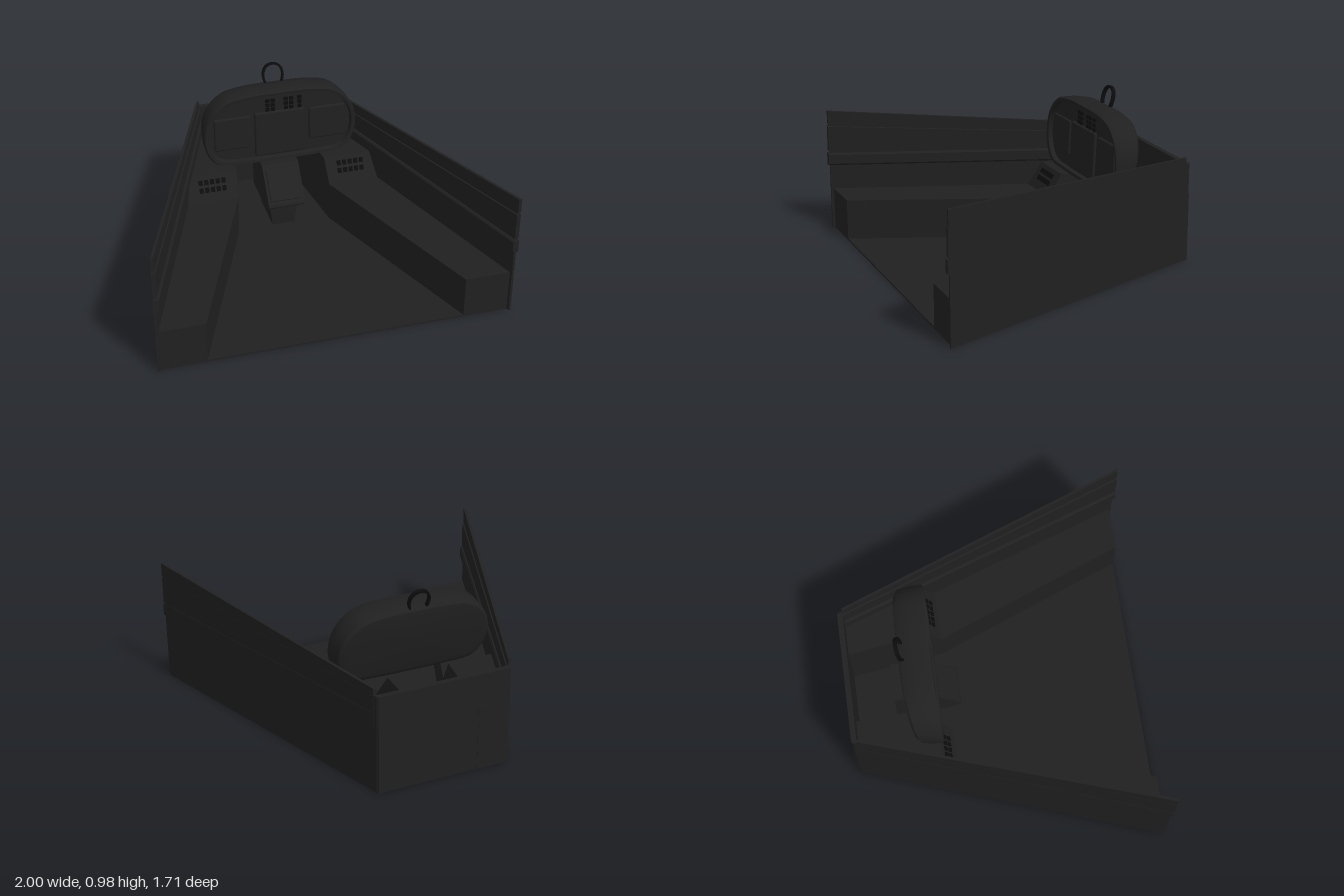
import * as THREE from 'three';
import { ConvexGeometry } from 'three/addons/geometries/ConvexGeometry.js';
import { RoundedBoxGeometry } from 'three/addons/geometries/RoundedBoxGeometry.js';
import { toCreasedNormals } from 'three/addons/utils/BufferGeometryUtils.js';

const dark = new THREE.MeshStandardMaterial({ color: 0x202020 });
const black = new THREE.MeshStandardMaterial({ color: 0x0c0c0c });

// Outer half width of the tub at depth z, and inner edge of the rear consoles
const halfWidth = z => 0.385 + (z + 0.85) * 0.358;
const innerEdge = z => 0.2 + (z + 0.85) * 0.137;

function add(parent, name, geometry, material = dark) {
  const mesh = new THREE.Mesh(geometry, material);
  mesh.name = name;
  parent.add(mesh);
  return mesh;
}

// Convex solid from corner points
function hull(parent, name, points, side = 1) {
  return add(parent, name, new ConvexGeometry(points.map(([x, y, z]) => new THREE.Vector3(x * side, y, z))));
}

// Strip following the side wall: [offset from wall, y at front, y at rear]
function wallStrip(parent, name, side, zFront, zRear, section) {
  const points = [];
  for (const [dx, yFront, yRear] of section) {
    points.push([halfWidth(zFront) + dx, yFront, zFront], [halfWidth(zRear) + dx, yRear, zRear]);
  }
  return hull(parent, name, points, side);
}

// Grid of small keys around a centre
function keys(parent, name, cols, rows, dx, dy, size, depth) {
  const group = new THREE.Group();
  group.name = name;
  for (let i = 0; i < cols; i++) for (let j = 0; j < rows; j++) {
    const key = add(group, 'key', new THREE.BoxGeometry(size[0], size[1], depth), black);
    key.position.set((i - (cols - 1) / 2) * dx, (j - (rows - 1) / 2) * dy, 0);
  }
  parent.add(group);
  return group;
}

// Instrument pod: leaning front face with a sunken centre and a raked back
const frontZ = y => -0.34 - (y - 0.43) * 0.045;
const backZ = y => -0.45 - (y - 0.43) * 0.205;

function podGeometry() {
  const half = [[0.2, 0.875], [0.33, 0.845], [0.42, 0.76], [0.455, 0.65], [0.437, 0.53], [0.375, 0.455], [0.2, 0.437]];
  const outline = [[0, 0.88], ...half, [0, 0.435], ...half.slice().reverse().map(([x, y]) => [-x, y])];
  const curve = new THREE.CatmullRomCurve3(outline.map(([x, y]) => new THREE.Vector3(x, y, 0)), true);
  const n = 72, ring = curve.getSpacedPoints(n).slice(0, n);
  // Rings: scale x, scale y, depth fraction, extra z
  const rings = [
    [0, 0, 0, -0.025], [0.93, 0.88, 0, -0.025], [0.945, 0.9, 0, 0], [0.985, 0.975, 0, 0.003],
    [1, 1, 0, -0.008], [0.995, 0.985, 0.5, 0], [0.975, 0.93, 0.88, 0], [0.94, 0.88, 0.97, 0],
    [0.87, 0.8, 1, 0], [0, 0, 1, 0],
  ];
  const positions = [], index = [];
  for (const [sx, sy, t, dz] of rings) for (const p of ring) {
    const y = 0.655 + (p.y - 0.655) * sy;
    positions.push(p.x * sx, y, THREE.MathUtils.lerp(frontZ(y), backZ(y), t) + dz);
  }
  for (let r = 0; r < rings.length - 1; r++) for (let i = 0; i < n; i++) {
    const a = r * n + i, b = r * n + (i + 1) % n, c = a + n, d = b + n;
    // Centre rings collapse to a point, so leave out the empty triangles
    if (r > 0) index.push(a, b, c);
    if (r < rings.length - 2) index.push(b, d, c);
  }
  const geometry = new THREE.BufferGeometry();
  geometry.setAttribute('position', new THREE.Float32BufferAttribute(positions, 3));
  geometry.setIndex(index);
  return toCreasedNormals(geometry, 0.6);
}

export function createModel() {
  const model = new THREE.Group();
  model.name = 'cockpit';

  // Floor and rear bulkhead
  const floor = [];
  for (const s of [1, -1]) for (const y of [0, 0.01]) {
    floor.push([s * halfWidth(0.83), y, 0.83], [s * halfWidth(-0.85), y, -0.85]);
  }
  hull(model, 'floor', floor);
  const bulkhead = [];
  for (const s of [1, -1]) for (const y of [0, 0.58]) {
    bulkhead.push([s * halfWidth(-0.82), y, -0.82], [s * 0.39, y, -0.842], [s * 0.38, y, -0.85]);
  }
  hull(model, 'bulkhead', bulkhead);

  for (const s of [1, -1]) {
    const side = new THREE.Group();
    side.name = s > 0 ? 'leftSide' : 'rightSide';
    model.add(side);

    // Side wall, sill along its top, padded rail and upper lining
    wallStrip(side, 'wall', s, 0.845, -0.82, [[0, 0, 0], [-0.012, 0, 0], [0, 0.66, 0.585], [-0.012, 0.66, 0.585]]);
    wallStrip(side, 'sill', s, 0.85, -0.82, [[0.003, 0.655, 0.58], [-0.014, 0.655, 0.58], [0.003, 0.735, 0.62], [-0.014, 0.735, 0.62]]);
    wallStrip(side, 'rail', s, 0.857, -0.82, [[0.002, 0.4, 0.4], [0.002, 0.475, 0.475], [-0.022, 0.4, 0.4],
      [-0.03, 0.41, 0.41], [-0.03, 0.465, 0.465], [-0.022, 0.475, 0.475]]);
    wallStrip(side, 'lining', s, 0.853, -0.82, [[0.001, 0.485, 0.485], [0.001, 0.645, 0.57],
      [-0.02, 0.49, 0.49], [-0.02, 0.64, 0.565]]);

    // Low side console
    const low = [];
    for (const y of [0, 0.25]) {
      low.push([halfWidth(0.83) - 0.003, y, 0.83], [0.72, y, 0.83],
        [halfWidth(-0.3) - 0.003, y, -0.3], [innerEdge(-0.28), y, -0.28]);
    }
    hull(side, 'sideConsole', low, s);

    // Tall rear console with a sloped key panel
    const tall = [];
    for (const [y, z] of [[0, -0.28], [0.25, -0.28], [0.39, -0.36], [0, -0.853], [0.39, -0.853]]) {
      tall.push([halfWidth(z) - 0.003, y, z], [innerEdge(z), y, z]);
    }
    hull(side, 'rearConsole', tall, s);
    const pad = keys(side, 'consoleKeys', 5, 2, 0.034, 0.046, [0.023, 0.029], 0.012);
    pad.position.set(s * 0.42, 0.333, -0.327);
    pad.rotation.x = -Math.atan2(0.08, 0.14);
  }

  // Centre pedestal: slanted display head on a narrow leg
  const head = [];
  for (const s of [1, -1]) {
    for (const [z, y] of [[-0.59, 0.39], [-0.37, 0.39], [-0.215, 0.205], [-0.21, 0.19], [-0.22, 0.18], [-0.29, 0.14], [-0.59, 0.14]]) {
      head.push([s * 0.11, y, z]);
    }
  }
  hull(model, 'pedestalHead', head);
  const leg = [];
  for (const s of [1, -1]) {
    for (const [x, y, z] of [[0.085, 0.15, -0.29], [0.072, 0.08, -0.295], [0.066, 0, -0.3]]) {
      leg.push([s * x, y, z], [s * x, y, -0.57]);
    }
  }
  hull(model, 'pedestalLeg', leg);
  const display = add(model, 'pedestalDisplay', new RoundedBoxGeometry(0.19, 0.2, 0.012, 2, 0.005));
  display.position.set(0, 0.297, -0.291);
  display.rotation.x = -Math.atan2(0.155, 0.185);

  // Instrument pod with three screens and key groups
  add(model, 'instrumentPod', podGeometry());
  const lean = Math.atan(0.045);
  for (const [name, x, y, w, h, d] of [
    ['rightScreen', -0.283, 0.637, 0.215, 0.205, 0.024],
    ['leftScreen', 0.283, 0.637, 0.215, 0.205, 0.024],
    ['centreScreen', 0, 0.61, 0.3, 0.28, 0.032],
  ]) {
    const frame = add(model, name, new RoundedBoxGeometry(w, h, d, 3, 0.011));
    frame.position.set(x, y, frontZ(y) - 0.025);
    frame.rotation.x = -lean;
  }
  for (const [x, cols] of [[-0.055, 2], [0.055, 2], [0.12, 1]]) {
    const group = keys(model, 'podKeys', cols, 3, 0.032, 0.028, [0.023, 0.02], 0.012);
    group.position.set(x, 0.79, frontZ(0.79) - 0.022);
    group.rotation.x = -lean;
  }

  // Grab handle: a flat band bent into a loop, leaning backward
  const band = new THREE.Shape();
  band.moveTo(-0.05, 0);
  band.bezierCurveTo(-0.08, 0.06, -0.06, 0.125, 0, 0.125);
  band.bezierCurveTo(0.06, 0.125, 0.08, 0.06, 0.05, 0);
  band.lineTo(0.038, 0);
  band.bezierCurveTo(0.066, 0.055, 0.05, 0.113, 0, 0.113);
  band.bezierCurveTo(-0.05, 0.113, -0.066, 0.055, -0.038, 0);
  const bandGeometry = new THREE.ExtrudeGeometry(band, { depth: 0.02, bevelEnabled: false, curveSegments: 16 });
  const handle = add(model, 'grabHandle', toCreasedNormals(bandGeometry, 0.6), black);
  handle.position.set(0, 0.852, -0.518);
  handle.rotation.x = -0.26;

  return model;
}
